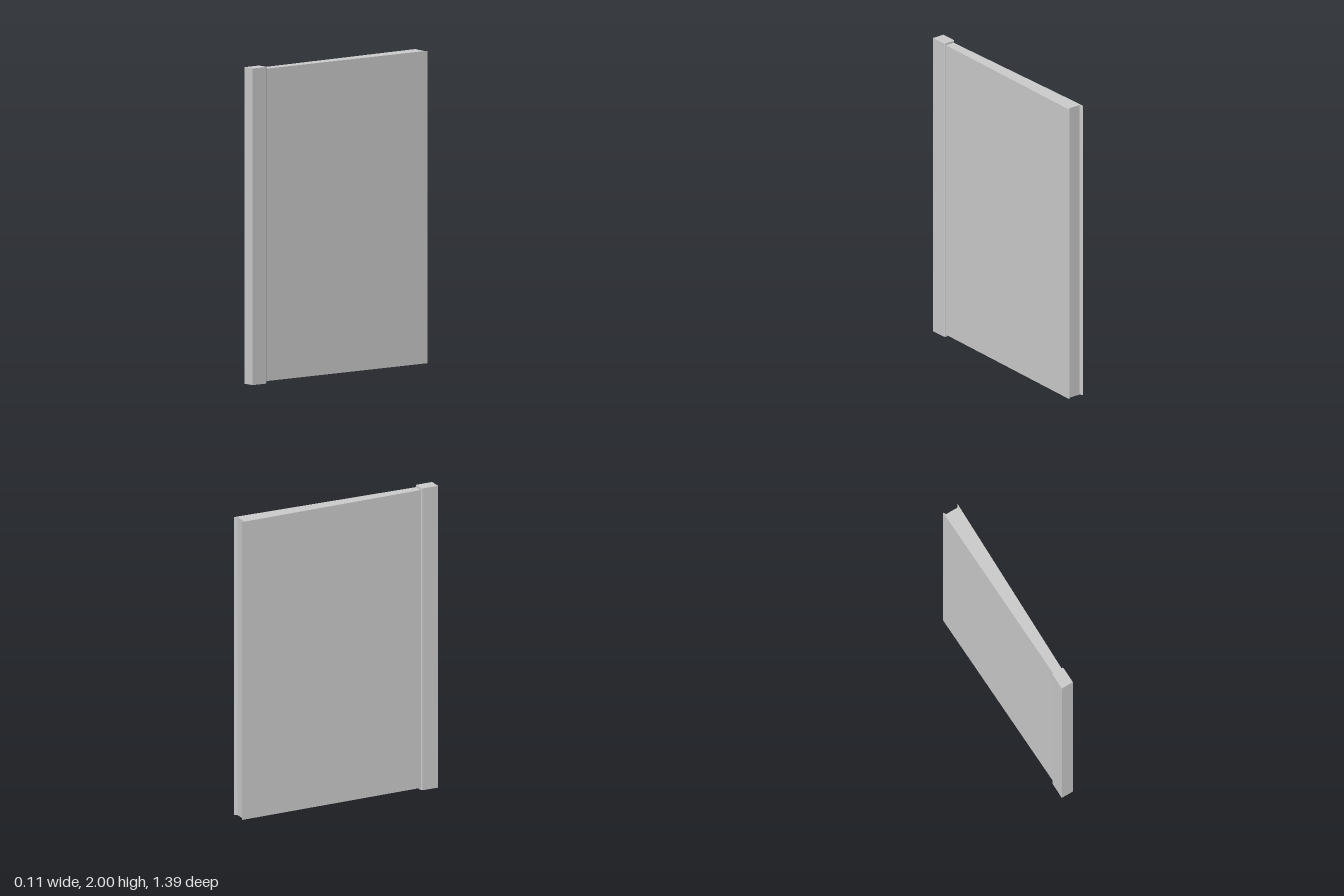
import * as THREE from 'three';

// Extrude a mirrored plan outline, given as [half width, z] pairs, upwards from y0 to y1
function extrudePlan(name, half, y0, y1, material) {
  const right = half.map(([x, z]) => new THREE.Vector2(x, -z));
  const left = half.map(([x, z]) => new THREE.Vector2(-x, -z)).reverse();
  const geometry = new THREE.ExtrudeGeometry(new THREE.Shape([...right, ...left]), {
    depth: y1 - y0,
    bevelEnabled: false,
  });
  geometry.rotateX(-Math.PI / 2);
  geometry.translate(0, y0, 0);
  const mesh = new THREE.Mesh(geometry, material);
  mesh.name = name;
  return mesh;
}

export function createModel() {
  const group = new THREE.Group();
  group.name = 'edgedPanel';
  const material = new THREE.MeshStandardMaterial({ color: 0xcccccc, flatShading: true });

  // Tapered panel with a shallow groove between two lips along its back edge
  group.add(extrudePlan('panel',
    [[0.031, 0.585], [0.0535, -0.695], [0.042, -0.676]], 0.014, 1.988, material));

  // Slightly taller edge strip along the front, chamfered where it meets the panel
  group.add(extrudePlan('frontStrip',
    [[0.0405, 0.695], [0.0405, 0.586], [0.035, 0.578]], 0, 2, material));

  return group;
}
